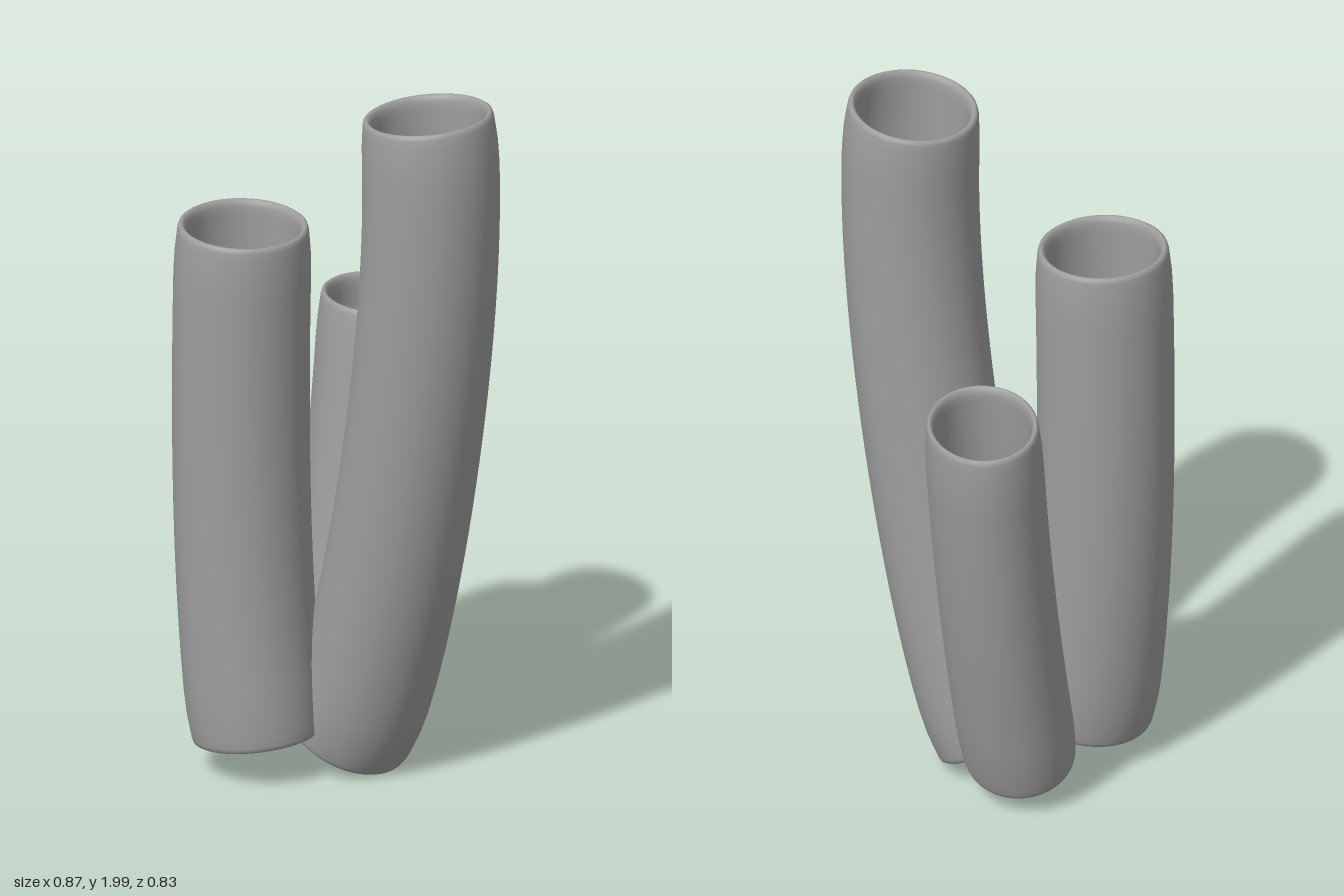
import * as THREE from 'three';

const SIDES = 64;

// Wall section as a closed loop of [distance along the axis, radius factor]:
// up the outside, over the rounded top rim, down the inside, around the bottom rim.
function wallProfile(length) {
  const rim = [[0.001, 0.885], [0, 0.91], [0.004, 0.94], [0.014, 0.957], [0.035, 0.968], [0.08, 0.99]];
  const inner = [[0.006, 0.855], [0.018, 0.832], [0.04, 0.825]];
  const flip = ([s, r]) => [length - s, r];
  const steps = 24, outside = [], inside = [];
  for (let i = 0; i <= steps; i++) {
    const s = 0.14 + (length - 0.28) * i / steps;
    outside.push([s, 1]);
    inside.unshift([s, 0.825]);
  }
  return [
    ...rim, ...outside, ...rim.map(flip).reverse(),
    ...inner.map(flip), ...inside, ...inner.slice().reverse(),
  ];
}

// Sweeps the wall section along a Bezier axis; radii a and b, turned by roll
function bentTube(name, points, a, b, roll, material) {
  const curve = new THREE.CubicBezierCurve3(...points.map(p => new THREE.Vector3(...p)));
  const length = curve.getLength();
  const profile = wallProfile(length);
  const positions = [], indices = [];
  const axisX = new THREE.Vector3(Math.cos(roll), 0, Math.sin(roll));

  profile.forEach(([s, r], i) => {
    const u = THREE.MathUtils.clamp(s / length, 0, 1);
    const centre = curve.getPointAt(u);
    const tangent = curve.getTangentAt(u);
    const n = axisX.clone().addScaledVector(tangent, -axisX.dot(tangent)).normalize();
    const m = new THREE.Vector3().crossVectors(n, tangent);
    const next = (i + 1) % profile.length;
    for (let j = 0; j < SIDES; j++) {
      const t = j / SIDES * Math.PI * 2;
      const p = centre.clone()
        .addScaledVector(n, Math.cos(t) * a * r)
        .addScaledVector(m, Math.sin(t) * b * r);
      positions.push(p.x, p.y, p.z);
      const k = (j + 1) % SIDES;
      const p0 = i * SIDES + j, p1 = next * SIDES + j;
      const q0 = i * SIDES + k, q1 = next * SIDES + k;
      indices.push(p0, p1, q0, p1, q1, q0);
    }
  });

  const geometry = new THREE.BufferGeometry();
  geometry.setAttribute('position', new THREE.Float32BufferAttribute(positions, 3));
  geometry.setIndex(indices);
  geometry.computeVertexNormals();
  const mesh = new THREE.Mesh(geometry, material);
  mesh.name = name;
  return mesh;
}

export function createModel() {
  const group = new THREE.Group();
  group.name = 'tubeCluster';
  const material = new THREE.MeshStandardMaterial({ color: 0x9d9d9d });

  group.add(
    // Tallest tube, leaning outwards and curling slightly back at its top
    bentTube('tallTube', [
      [-0.055, 0.093, 0.012], [0.089, 0.356, 0.015], [0.3, 1.435, 0.026], [0.241, 1.98, 0.03],
    ], 0.186, 0.186, 0, material),
    // Middle tube at the front
    bentTube('middleTube', [
      [-0.19, 0.112, 0.229], [-0.258, 0.557, 0.229], [-0.256, 1.095, 0.229], [-0.241, 1.595, 0.229],
    ], 0.186, 0.186, 0, material),
    // Short oval tube leaning to the back
    bentTube('shortTube', [
      [-0.158, 0.103, -0.05], [-0.163, 0.488, -0.15], [-0.167, 0.872, -0.217], [-0.171, 1.257, -0.252],
    ], 0.192, 0.158, Math.PI / 4, material),
  );
  return group;
}
